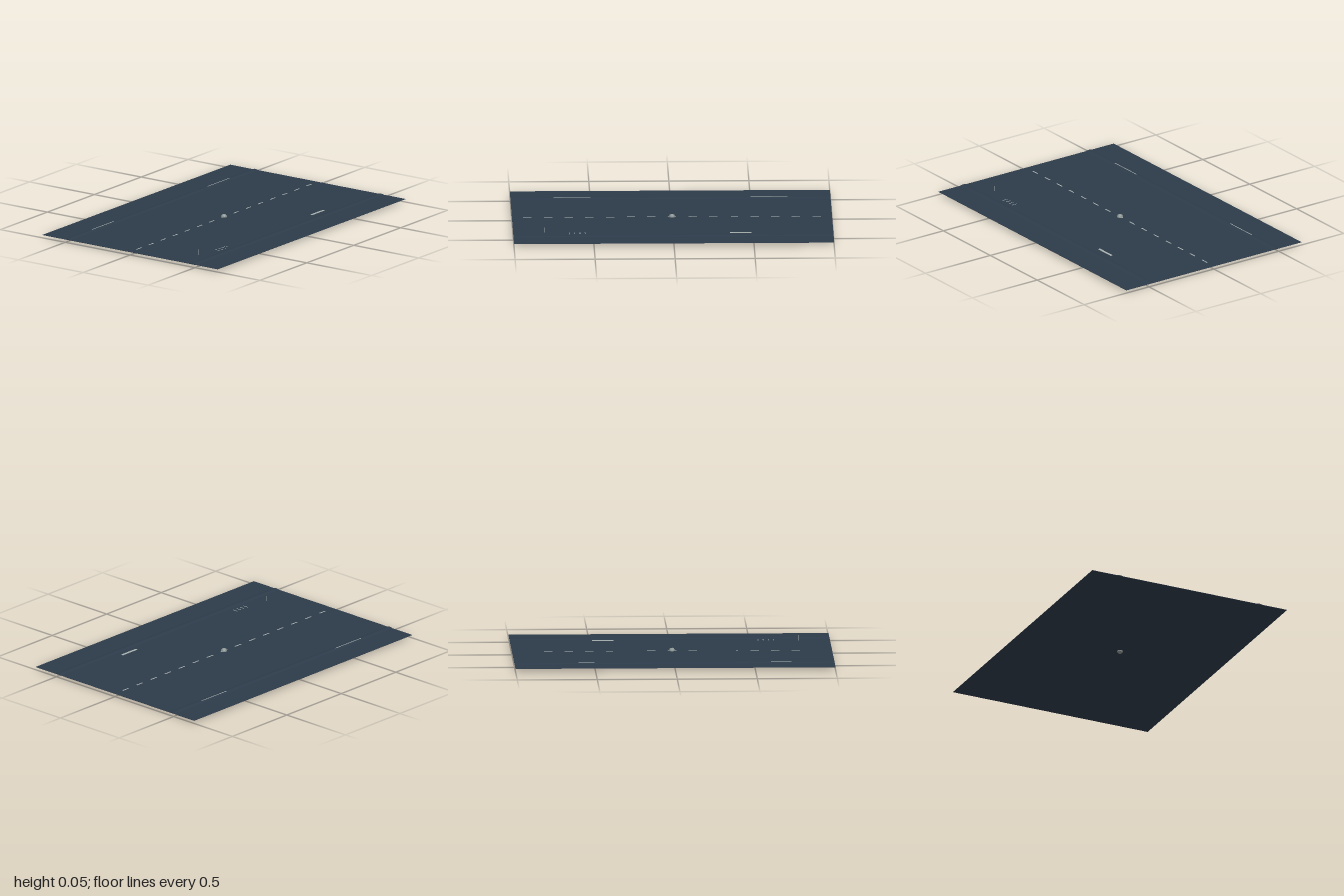
import * as THREE from 'three';

const TOP = 0.02; // height of the ground surface

export function createModel() {
  const model = new THREE.Group();
  const ground = new THREE.MeshStandardMaterial({ name: 'slate ground', color: 0x2d3b4a });
  const paint = new THREE.MeshStandardMaterial({ name: 'pale paint', color: 0xa9b3b2 });
  const stone = new THREE.MeshStandardMaterial({ name: 'grey stone', color: 0x8a9492, flatShading: true });

  const add = (name, geometry, material, x, y, z) => {
    const mesh = new THREE.Mesh(geometry, material);
    mesh.name = name;
    mesh.position.set(x, y, z);
    model.add(mesh);
    return mesh;
  };
  // Thin plate or post standing on the ground surface
  const plate = (name, w, h, d, x, z) =>
    add(name, new THREE.BoxGeometry(w, h, d), paint, x, TOP + h / 2, z);

  // Ground slab
  add('groundSlab', new THREE.BoxGeometry(2, 0.002, 1.35), ground, 0, TOP - 0.001, 0);

  // Low kerb ridges with sloping sides along both long edges
  const profile = new THREE.Shape([
    new THREE.Vector2(-0.024, 0), new THREE.Vector2(0.024, 0),
    new THREE.Vector2(0.006, 0.004), new THREE.Vector2(-0.006, 0.004),
  ]);
  for (const side of [-1, 1]) {
    const kerb = new THREE.ExtrudeGeometry(profile, { depth: 2, bevelEnabled: false });
    kerb.translate(0, 0, -1).rotateY(Math.PI / 2);
    add('kerb', kerb, ground, 0, TOP, side * 0.484);
  }

  // Dashed centre line
  for (let i = -7; i <= 7; i++) plate('centreDash', 0.053, 0.001, 0.008, i * 0.129, 0);

  // Pale strips on top of the rear kerb
  for (const side of [-1, 1]) plate('kerbStrip', 0.23, 0.005, 0.005, side * 0.615, -0.487);

  // Short crossing marks and a stop bar at the front
  for (let i = 0; i < 4; i++) plate('crossingMark', 0.004, 0.001, 0.036, -0.647 + i * 0.032, 0.417);
  plate('stopBar', 0.134, 0.002, 0.015, 0.42, 0.417);

  // Slim post
  plate('post', 0.003, 0.033, 0.003, -0.805, 0.387);

  // Faceted ball at the centre, half sunk into the slab
  add('centreBall', new THREE.IcosahedronGeometry(0.02, 1), stone, 0, TOP, 0);

  return model;
}
